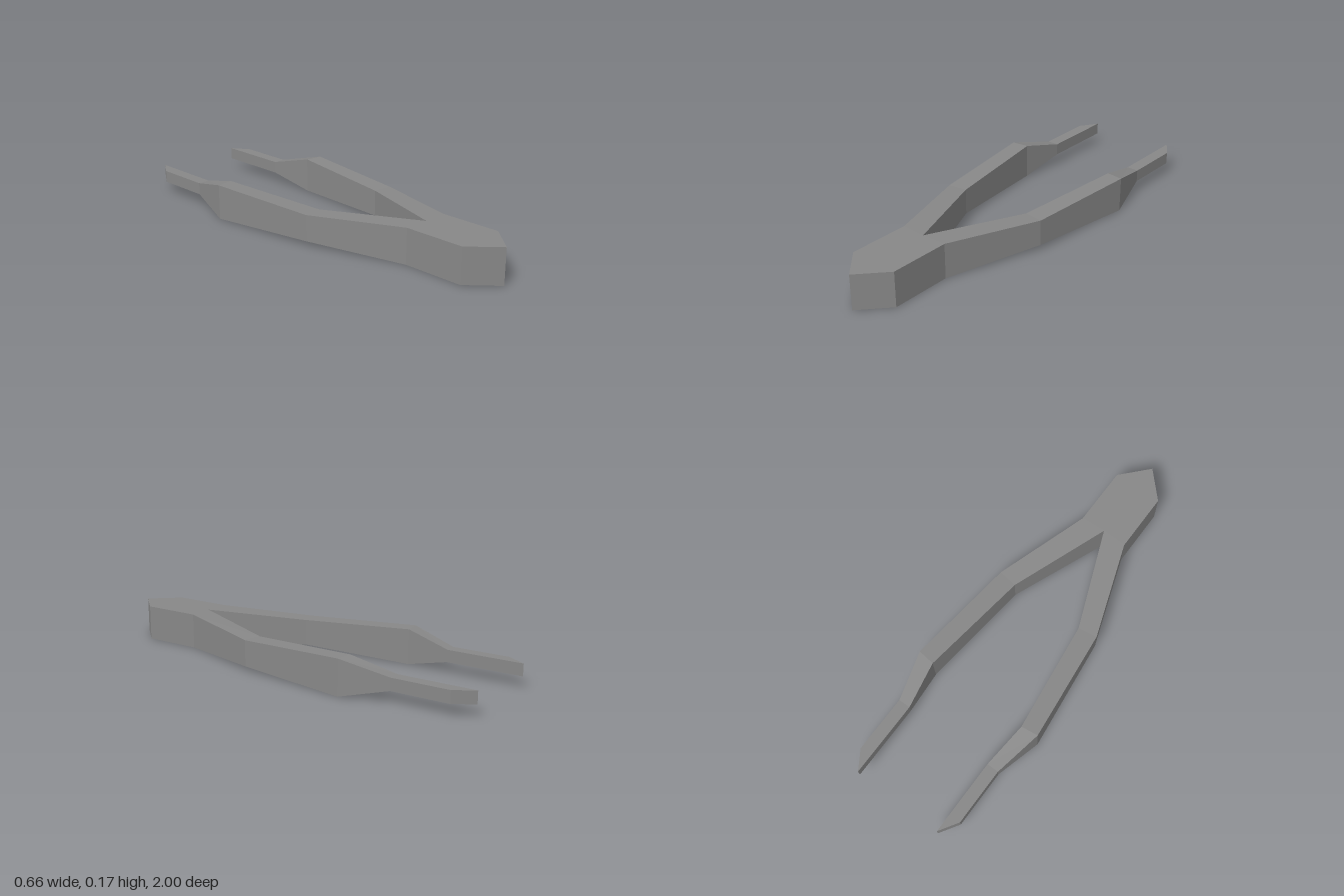
import * as THREE from 'three';

// Stations from the joined nose to the jaw tip:
// [outer x, outer z, inner x, inner z, half height]
const STATIONS = [
  [0, 1, 0, 1, 0.084],
  [0.12, 0.87, 0, 0.87, 0.084],
  [0.12, 0.58, 0, 0.585, 0.084],
  [0.275, 0.13, 0.183, 0.117, 0.062],
  [0.332, -0.41, 0.25, -0.42, 0.084],
  [0.279, -0.635, 0.221, -0.635, 0.029],
  [0.279, -0.91, 0.221, -1, 0.029],
];
const JOINED = 2; // stations before this one have no inner wall
const MID_Y = 0.084;

// One half, built on side +1 (left) or -1 (right)
function halfGeometry(side, first, last) {
  const pos = [];
  const tri = (a, b, c) => {
    for (const p of side > 0 ? [a, b, c] : [a, c, b]) pos.push(p[0] * side, p[1], p[2]);
  };
  const quad = (a, b, c, d) => { tri(a, b, c); tri(a, c, d); };
  const ring = ([ox, oz, ix, iz, h]) => ({
    ob: [ox, MID_Y - h, oz], ot: [ox, MID_Y + h, oz],
    ib: [ix, MID_Y - h, iz], it: [ix, MID_Y + h, iz],
  });
  for (let i = first; i < last; i++) {
    const a = ring(STATIONS[i]), b = ring(STATIONS[i + 1]);
    quad(a.ob, b.ob, b.ot, a.ot); // outer wall
    if (i === 0) { // pointed nose
      tri(a.ot, b.ot, b.it);
      tri(a.ob, b.ib, b.ob);
    } else {
      quad(a.ot, b.ot, b.it, a.it);
      quad(a.ib, b.ib, b.ob, a.ob);
    }
    if (i >= JOINED) quad(a.it, b.it, b.ib, a.ib); // inner wall
  }
  // slanted tip
  if (last === STATIONS.length - 1) {
    const e = ring(STATIONS[last]);
    quad(e.ob, e.ib, e.it, e.ot);
  }
  const geo = new THREE.BufferGeometry();
  geo.setAttribute('position', new THREE.Float32BufferAttribute(pos, 3));
  geo.computeVertexNormals();
  return geo;
}

export function createModel() {
  const group = new THREE.Group();
  group.name = 'tweezers';
  const metal = new THREE.MeshStandardMaterial({ color: 0x888888 });
  metal.name = 'grey metal';

  for (const [side, label] of [[1, 'left'], [-1, 'right']]) {
    const base = new THREE.Mesh(halfGeometry(side, 0, JOINED), metal);
    base.name = label + 'JoinedEnd';
    const arm = new THREE.Mesh(halfGeometry(side, JOINED, STATIONS.length - 1), metal);
    arm.name = label + 'Arm';
    group.add(base, arm);
  }
  return group;
}
